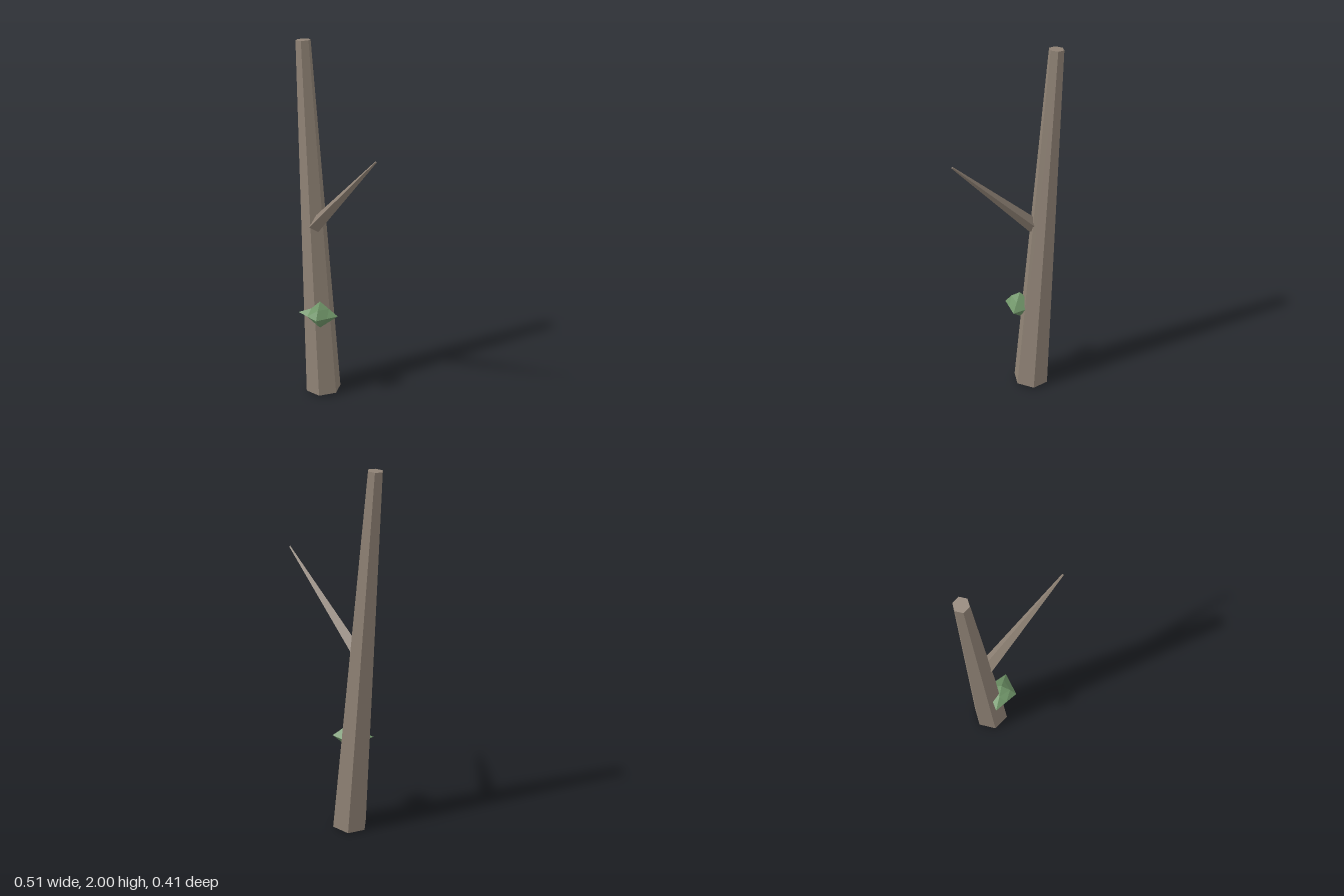
import * as THREE from 'three';

const bark = new THREE.MeshStandardMaterial({ color: 0x8f8275, flatShading: true, side: THREE.DoubleSide });
const leaf = new THREE.MeshStandardMaterial({ color: 0x6f9468, flatShading: true });

// Tapered prism centred between two points, along local y
function limb(name, from, to, r0, r1, sides, open) {
  const mesh = new THREE.Mesh(
    new THREE.CylinderGeometry(r1, r0, from.distanceTo(to), sides, 1, open), bark);
  mesh.name = name;
  mesh.position.lerpVectors(from, to, 0.5);
  return mesh;
}

export function createModel() {
  const model = new THREE.Group();
  model.name = 'bareTree';

  // Leaning six-sided trunk, open at the foot
  const foot = new THREE.Vector3(-0.101, 0.007, -0.098);
  const crown = new THREE.Vector3(-0.22, 1.998, -0.169);
  const trunk = limb('trunk', foot, crown, 0.1, 0.04, 6, true);
  const lean = crown.clone().sub(foot).normalize();
  trunk.quaternion.setFromUnitVectors(new THREE.Vector3(0, 1, 0), lean);
  model.add(trunk);

  // Cap on the cut top, corners matched to the trunk
  const cap = new THREE.Mesh(new THREE.CircleGeometry(0.04, 6, Math.PI / 2).rotateX(-Math.PI / 2), bark);
  cap.name = 'trunkTop';
  cap.position.y = foot.distanceTo(crown) / 2;
  trunk.add(cap);

  // Thin four-sided branch rising forward and to the left
  const base = new THREE.Vector3(-0.143, 1.008, -0.092);
  const tip = new THREE.Vector3(0.25, 1.5, 0.202);
  const branch = limb('branch', base, tip, 0.04, 0.005, 4, false);
  const d = tip.clone().sub(base).normalize();
  branch.rotation.set(Math.acos(d.y), Math.atan2(d.x, d.z), 0, 'YXZ');
  model.add(branch);

  // Faceted leaf tuft: divided octahedron with dented side ridges and fuller front
  const geo = new THREE.OctahedronGeometry(1, 1);
  const p = geo.attributes.position;
  const v = new THREE.Vector3();
  for (let i = 0; i < p.count; i++) {
    v.fromBufferAttribute(p, i);
    const has = [v.x, v.y, v.z].map((c) => Math.abs(c) > 0.1);
    if (has.filter(Boolean).length > 1) {
      v.multiplyScalar(Math.SQRT1_2);
      if (v.x < -0.1 && has[1]) v.multiplyScalar(0.8);
      if (v.z > 0.1 && has[1]) v.multiplyScalar(1.15);
    }
    p.setXYZ(i, v.x * (v.x < 0 ? 0.123 : 0.1), v.y * 0.08, v.z * 0.086);
  }
  geo.computeVertexNormals();
  const tuft = new THREE.Mesh(geo, leaf);
  tuft.name = 'leafTuft';
  tuft.position.set(-0.1, 0.51, -0.028);
  model.add(tuft);

  return model;
}
